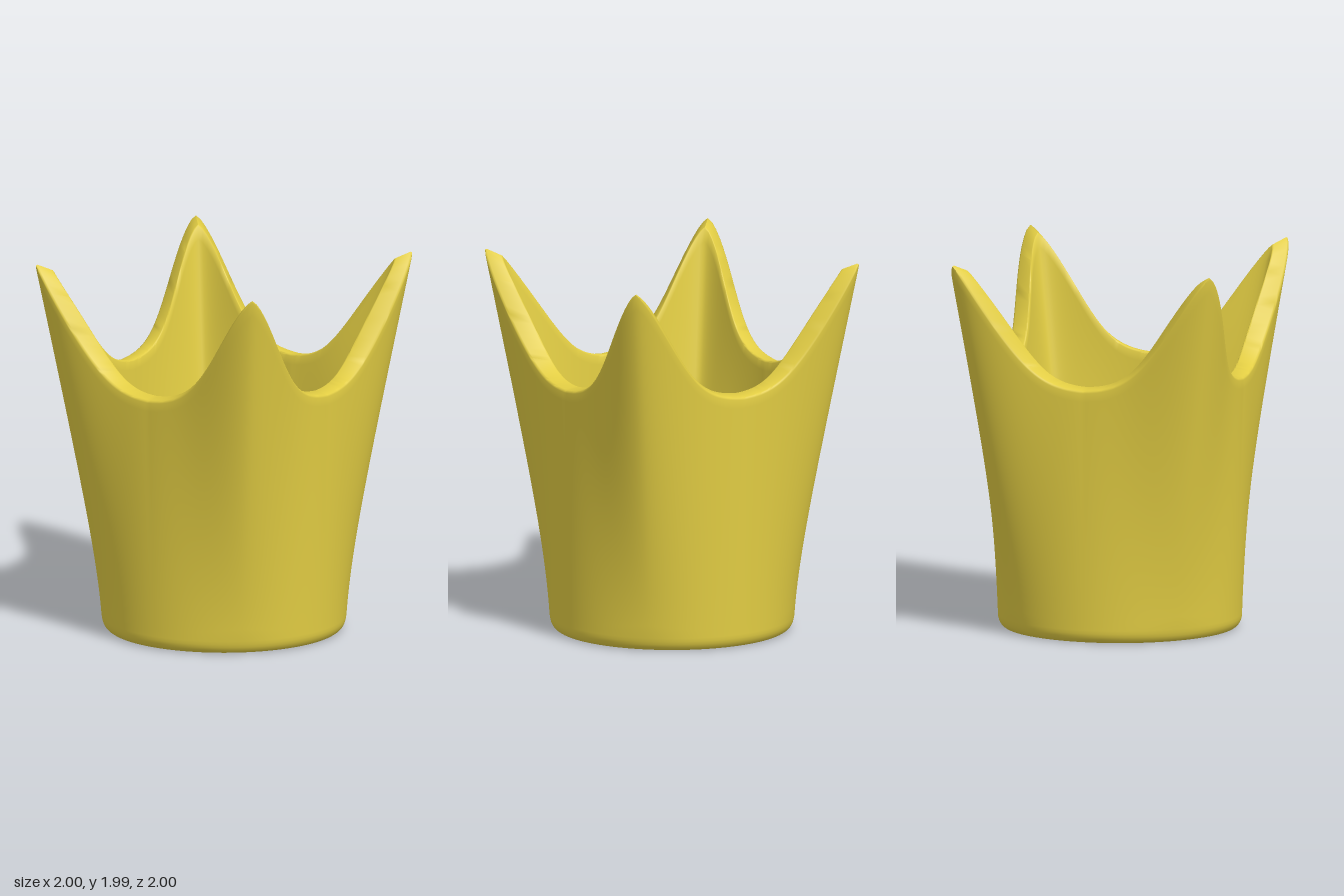
import * as THREE from 'three';
import { toCreasedNormals } from 'three/addons/utils/BufferGeometryUtils.js';

const COLUMNS = 256, ROWS = 28;
const lerp = THREE.MathUtils.lerp;

// Angle in degrees away from the nearest of the four points (0..45)
const offAxis = (a) => {
  const d = THREE.MathUtils.radToDeg(a) % 90;
  return Math.min(d, 90 - d);
};
const falloff = (deg, width, power) => Math.exp(-Math.pow(deg / width, power));

// Outer radius: round at the foot, a four-pointed star higher up
function outerRadius(deg, y) {
  const ridge = 0.638 + 0.208 * y - 0.05 * (1 - Math.exp(-3 * y));
  const valley = 0.638 + 0.026 * y;
  return lerp(valley, ridge, falloff(deg, 20.5, 1.7));
}

// Closed wall section at one angle: foot, outside, rim, inside
function section(a) {
  const deg = offAxis(a);
  const tip = falloff(deg, 15, 1.45);
  const top = 1.342 + 0.643 * tip;
  const innerTop = top + lerp(0.01, -0.03, tip);
  const thickness = 0.09 + 0.1 * tip * (1 - tip);

  // Underside bevelled up to the narrow opening
  const points = [[0.515, 0.09], [0.53, 0.055], [0.555, 0.022], [0.58, 0.003], [0.598, 0]];

  // Rounded foot edge
  for (let i = 1; i <= 5; i++) {
    const t = (i / 6) * Math.PI / 2;
    points.push([0.598 + 0.043 * Math.sin(t), 0.07 * (1 - Math.cos(t))]);
  }
  // Outer wall
  for (let i = 0; i <= ROWS; i++) {
    const y = lerp(0.07, top - 0.014, i / ROWS);
    points.push([outerRadius(deg, y), y]);
  }
  // Softened rim
  const rim = outerRadius(deg, top);
  const innerRim = outerRadius(deg, innerTop) - thickness;
  points.push([rim - 0.003, top - 0.004], [rim - 0.012, top]);
  points.push([innerRim + 0.01, innerTop], [innerRim + 0.003, innerTop - 0.003]);
  // Inner wall from the rim down to the opening
  for (let i = 0; i < ROWS; i++) {
    const y = lerp(innerTop - 0.01, 0.09, i / ROWS);
    const blend = Math.min(1, (y - 0.09) / 0.35);
    points.push([lerp(0.515, outerRadius(deg, y) - thickness, blend), y]);
  }
  return points;
}

function crownGeometry() {
  const positions = [], index = [];
  let count = 0;
  for (let c = 0; c < COLUMNS; c++) {
    const a = (c / COLUMNS) * Math.PI * 2;
    const points = section(a);
    count = points.length;
    for (const [r, y] of points) positions.push(r * Math.sin(a), y, r * Math.cos(a));
  }
  for (let c = 0; c < COLUMNS; c++) {
    const next = (c + 1) % COLUMNS;
    for (let i = 0; i < count; i++) {
      const j = (i + 1) % count;
      const p = c * count + i, q = next * count + i;
      const s = next * count + j, t = c * count + j;
      index.push(p, q, s, p, s, t);
    }
  }
  const geometry = new THREE.BufferGeometry();
  geometry.setAttribute('position', new THREE.Float32BufferAttribute(positions, 3));
  geometry.setIndex(index);
  return toCreasedNormals(geometry, 1.0);
}

export function createModel() {
  const group = new THREE.Group();
  group.name = 'crown';
  const material = new THREE.MeshStandardMaterial({ color: 0xe2cd43, side: THREE.DoubleSide });
  const band = new THREE.Mesh(crownGeometry(), material);
  band.name = 'pointedBand';
  group.add(band);
  return group;
}
